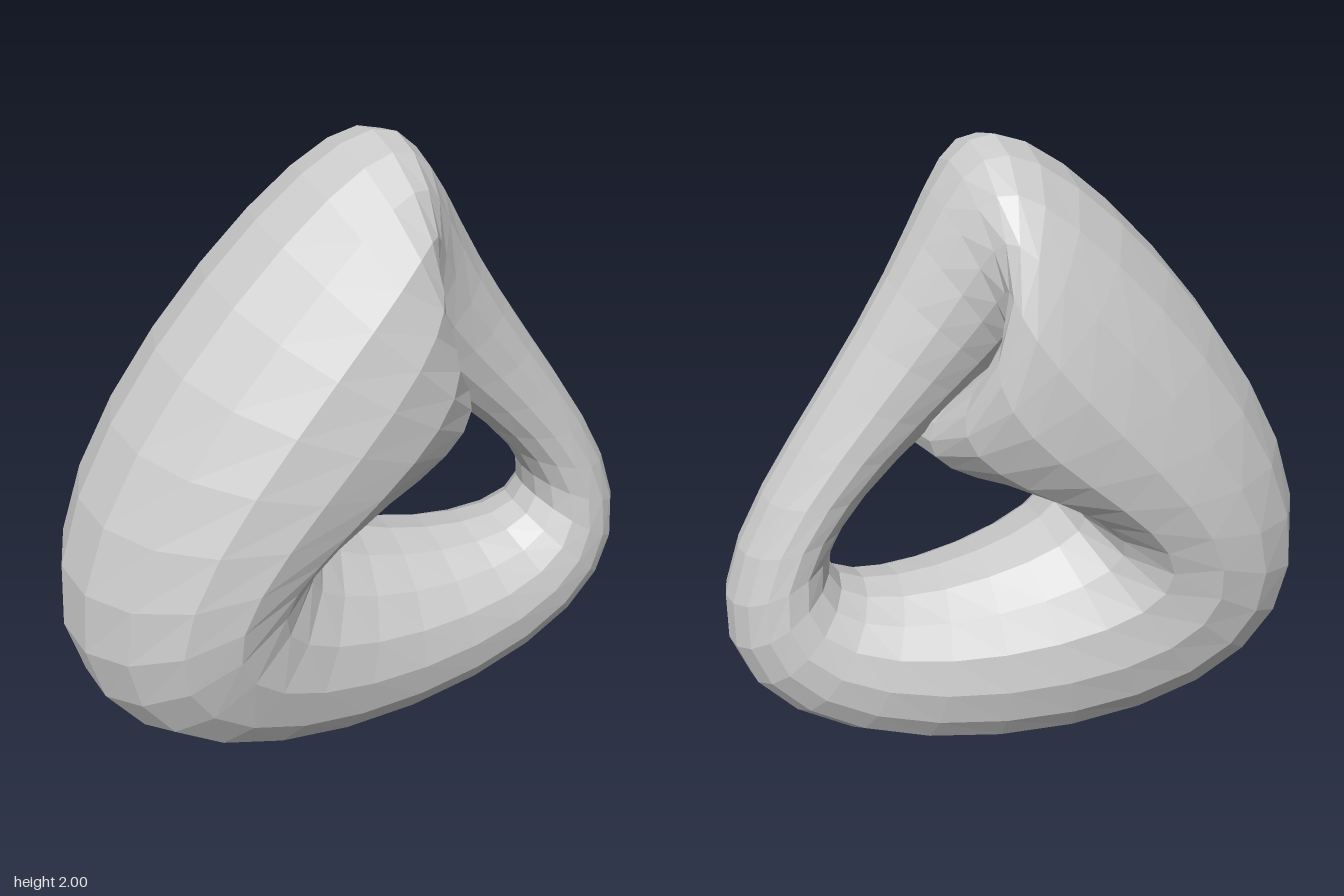
import * as THREE from 'three';
import { ParametricGeometry } from 'three/addons/geometries/ParametricGeometry.js';

const S = 0.1645; // overall scale

// Closed tube: thin on the +x side, fat on the -x side, pinched through itself at the top
function tubePoint(s, t, target) {
  const u = s * Math.PI * 2; // along the loop
  const v = t * Math.PI * 2; // around the tube
  const r = 2 - Math.cos(u); // tube radius
  const reachX = 3 * (1 + Math.sin(u)) + r * Math.cos(v);
  const reachY = 4 + r * Math.cos(v);
  target.set(Math.cos(u) * reachX, -Math.sin(u) * reachY, -r * Math.sin(v)).multiplyScalar(S);
}

export function createModel() {
  const group = new THREE.Group();
  group.name = 'selfCrossingBottle';

  // Faceted surface, 32 steps along the loop and 16 around the tube
  const geometry = new ParametricGeometry(tubePoint, 32, 16);
  geometry.center();
  geometry.computeBoundingBox();
  geometry.translate(0, -geometry.boundingBox.min.y, 0);

  // Double sided because the surface turns inside out where it crosses itself
  const material = new THREE.MeshStandardMaterial({
    color: 0xcccccc,
    flatShading: true,
    side: THREE.DoubleSide,
  });
  const tube = new THREE.Mesh(geometry, material);
  tube.name = 'loopedTube';
  group.add(tube);
  return group;
}
